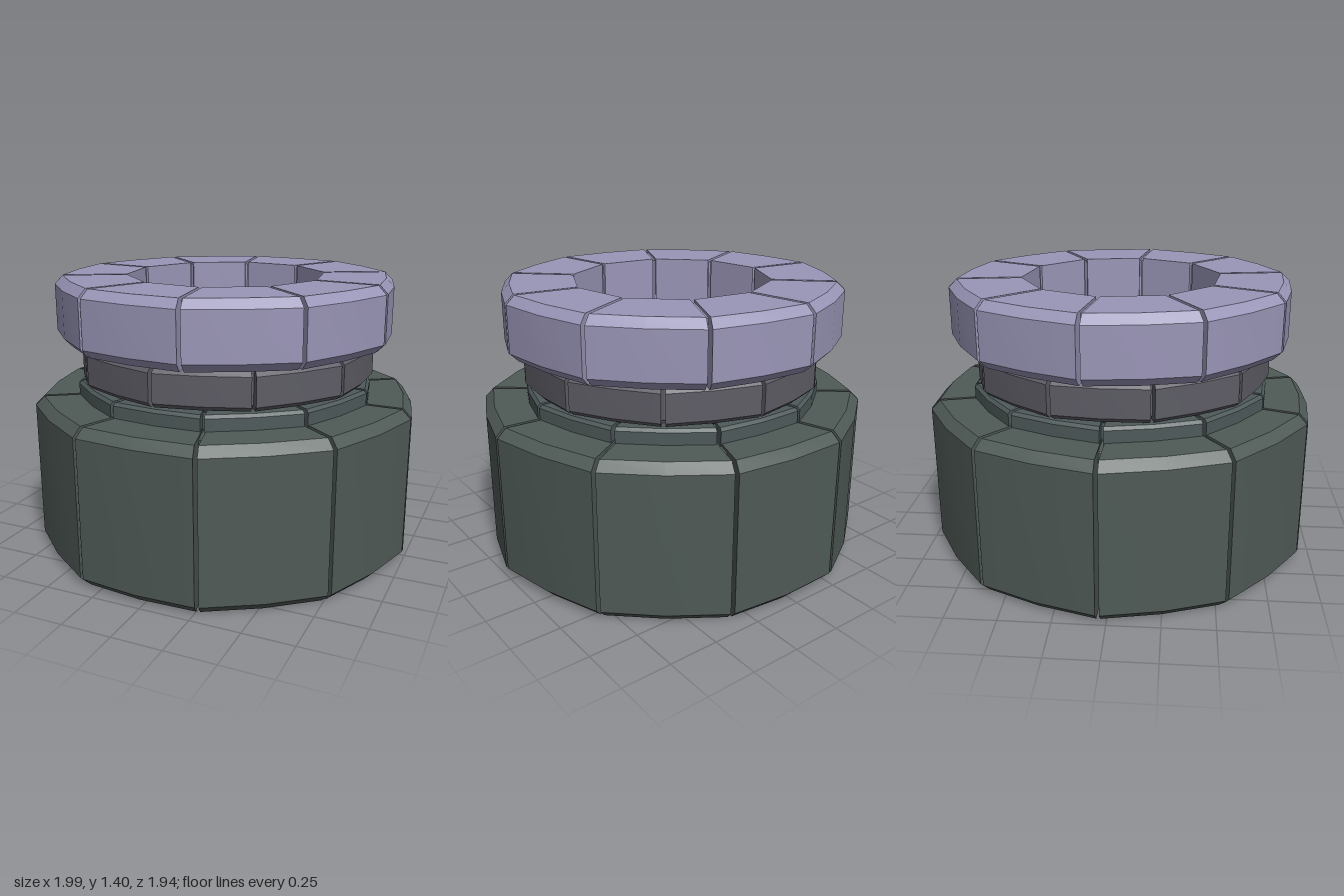
import * as THREE from 'three';
import { toCreasedNormals } from 'three/addons/utils/BufferGeometryUtils.js';

const COUNT = 10;
const HALF = Math.PI / COUNT;
const BULGE = 0.972; // outer wall sits between chord and arc at mid-segment

// One wedge of a ring: a chamfered cross-section at start, middle and end angles
function wedgeGeometry({ inner, outer, y0, y1, bevel, gap }) {
  const profile = [
    [inner, y0], [outer - bevel, y0], [outer, y0 + bevel],
    [outer, y1 - bevel], [outer - bevel, y1], [inner, y1],
  ];
  const n = profile.length;
  const positions = [];
  const index = [];
  for (const s of [-1, 0, 1]) {
    for (const [r, y] of profile) {
      if (s === 0) {
        positions.push(r * (r === inner ? Math.cos(HALF) : BULGE), y, 0);
      } else {
        positions.push(r * Math.cos(HALF), y, s * (r * Math.sin(HALF) - gap / 2));
      }
    }
  }
  for (let s = 0; s < 2; s++) {
    for (let i = 0; i < n; i++) {
      const a = s * n + i, b = s * n + (i + 1) % n;
      index.push(a, b, b + n, a, b + n, a + n);
    }
  }
  // End caps
  for (let i = 1; i < n - 1; i++) {
    index.push(0, i + 1, i, 2 * n, 2 * n + i, 2 * n + i + 1);
  }
  const geometry = new THREE.BufferGeometry();
  geometry.setAttribute('position', new THREE.Float32BufferAttribute(positions, 3));
  geometry.setIndex(index);
  return toCreasedNormals(geometry, THREE.MathUtils.degToRad(20));
}

// Ring of separated wedges around a slightly recessed core that closes the seams
function segmentedRing(name, color, seamDegrees, size, coreInset) {
  const ring = new THREE.Group();
  ring.name = name;
  const material = new THREE.MeshStandardMaterial({ color });
  const wedge = wedgeGeometry({ ...size, gap: 0.02 });
  const core = wedgeGeometry({
    inner: size.inner + 0.012,
    outer: size.outer - coreInset,
    y0: size.y0 + 0.012,
    y1: size.y1 - 0.012,
    bevel: 0.005,
    gap: 0,
  });
  for (let i = 0; i < COUNT; i++) {
    const angle = THREE.MathUtils.degToRad(seamDegrees) + (2 * i + 1) * HALF;
    for (const [part, geometry] of [['Segment', wedge], ['SeamCore', core]]) {
      const mesh = new THREE.Mesh(geometry, material);
      mesh.name = name + part;
      mesh.rotation.y = -angle;
      ring.add(mesh);
    }
  }
  return ring;
}

export function createModel() {
  const model = new THREE.Group();
  model.name = 'segmentedRingStack';

  model.add(
    // Heavy base ring
    segmentedRing('baseRing', 0x4f5a56, 2.3,
      { inner: 0.51, outer: 1.0, y0: 0, y1: 0.795, bevel: 0.045 }, 0.16),
    // Low collar on top of the base
    segmentedRing('collarRing', 0x4f5a5a, 2.6,
      { inner: 0.515, outer: 0.775, y0: 0.76, y1: 0.87, bevel: 0.015 }, 0.06),
    // Middle ring, turned half a segment
    segmentedRing('middleRing', 0x5e5d66, 21.4,
      { inner: 0.515, outer: 0.767, y0: 0.88, y1: 1.065, bevel: 0.022 }, 0.06),
    // Wide top ring
    segmentedRing('topRing', 0x9a96b8, 8,
      { inner: 0.51, outer: 0.875, y0: 1.08, y1: 1.4, bevel: 0.042 }, 0.09),
  );

  // Thin spacers showing in the slots between the upper rings
  const spacerMaterial = new THREE.MeshStandardMaterial({ color: 0x4f4f57 });
  for (const [y0, y1, seam] of [[0.86, 0.895, 2.6], [1.05, 1.095, 21.4]]) {
    const geometry = wedgeGeometry({ inner: 0.53, outer: 0.69, y0, y1, bevel: 0.004, gap: 0 });
    for (let i = 0; i < COUNT; i++) {
      const spacer = new THREE.Mesh(geometry, spacerMaterial);
      spacer.name = 'spacer';
      spacer.rotation.y = -(THREE.MathUtils.degToRad(seam) + (2 * i + 1) * HALF);
      model.add(spacer);
    }
  }
  return model;
}
